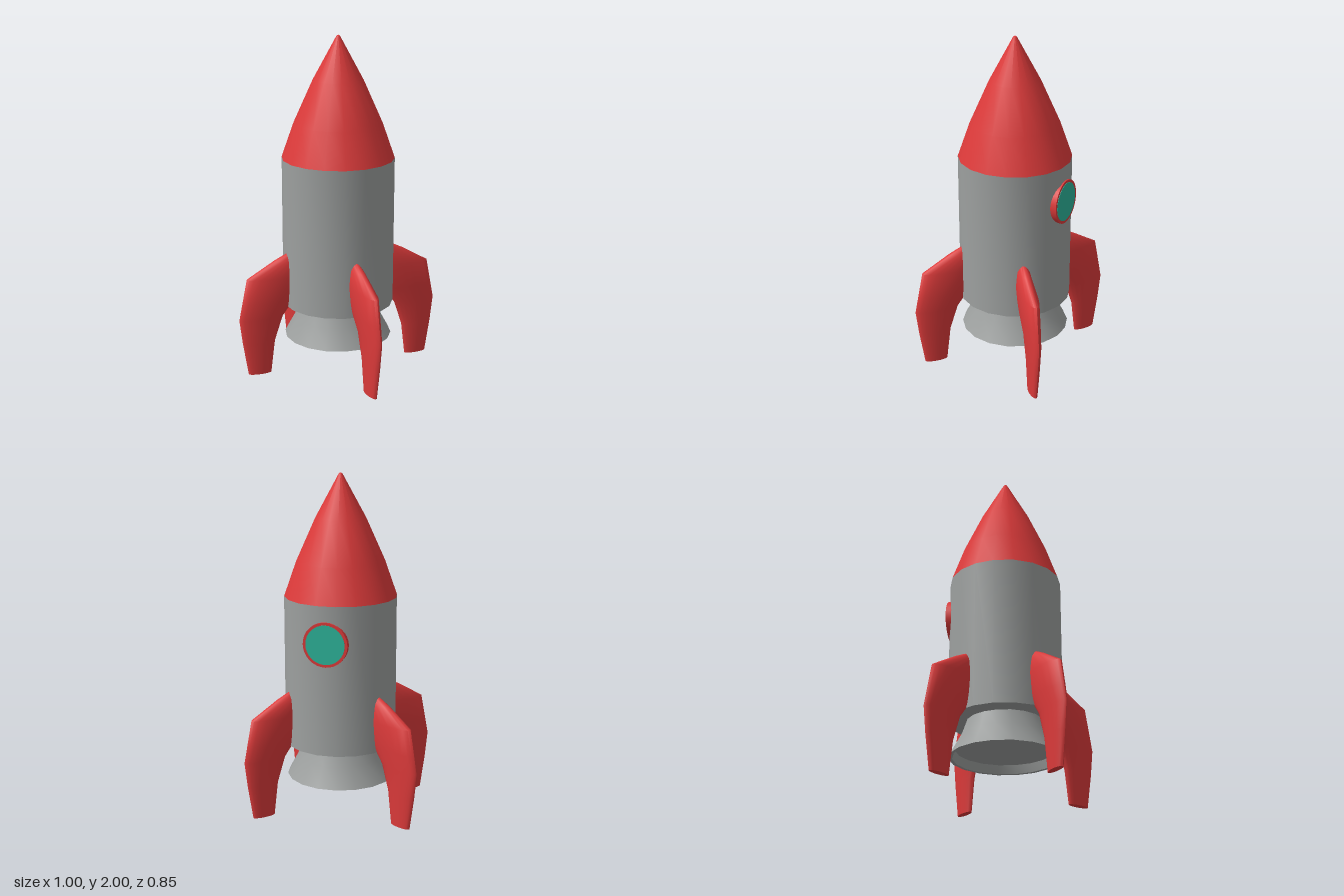
import * as THREE from 'three';
import { toCreasedNormals } from 'three/addons/utils/BufferGeometryUtils.js';

const SIDES = 18;

function material(name, color) {
  const m = new THREE.MeshStandardMaterial({ color });
  m.name = name;
  return m;
}

function mesh(name, geometry, mat) {
  const m = new THREE.Mesh(geometry, mat);
  m.name = name;
  return m;
}

// Turned part from a profile of [radius, height], with a corner on the x axis
function turned(name, profile, mat, crease = 0.6) {
  const g = new THREE.LatheGeometry(profile.map(([r, y]) => new THREE.Vector2(r, y)), SIDES);
  g.rotateY(Math.PI / 2);
  return mesh(name, toCreasedNormals(g, crease), mat);
}

// Fin lofted through elliptical sections: [height, inner, outer, half thickness]
function finGeometry() {
  const sections = [
    [0, 0.44, 0.58, 0.022],
    [0.2, 0.415, 0.612, 0.03],
    [0.35, 0.365, 0.63, 0.036],
    [0.45, 0.29, 0.61, 0.043],
    [0.6, 0.2, 0.58, 0.047],
    [0.7, 0.2, 0.41, 0.035],
    [0.76, 0.2, 0.29, 0.012],
  ];
  const n = 20, pos = [], idx = [];
  for (const [y, a, b, h] of sections) {
    for (let i = 0; i < n; i++) {
      const t = (i / n) * Math.PI * 2;
      pos.push((a + b) / 2 + ((b - a) / 2) * Math.cos(t), y, h * Math.sin(t));
    }
  }
  const last = sections.length - 1;
  for (let s = 0; s < last; s++) {
    for (let i = 0; i < n; i++) {
      const p = s * n + i, q = s * n + ((i + 1) % n);
      idx.push(p, p + n, q, q, p + n, q + n);
    }
  }
  // Flat caps at foot and top
  for (let i = 1; i < n - 1; i++) {
    idx.push(0, i, i + 1);
    idx.push(last * n, last * n + i + 1, last * n + i);
  }
  const g = new THREE.BufferGeometry();
  g.setAttribute('position', new THREE.Float32BufferAttribute(pos, 3));
  g.setIndex(idx);
  return toCreasedNormals(g, 0.8);
}

export function createModel() {
  const red = material('red paint', 0xdc3a3a);
  const grey = material('grey metal', 0x9da09f);
  const teal = material('teal glass', 0x2db39a);

  const model = new THREE.Group();
  model.name = 'rocket';

  // Hull, nose and hollow nozzle share one axis
  const hull = new THREE.Group();
  hull.name = 'hull';
  hull.position.set(0.027, 0, -0.013);
  model.add(hull);
  hull.add(turned('body', [[0, 0.41], [0.33, 0.41], [0.33, 1.29]], grey));
  hull.add(turned('noseCone',
    [[0.33, 1.29], [0.258, 1.495], [0.146, 1.745], [0.01, 1.995], [0, 2]], red));
  hull.add(turned('nozzle',
    [[0, 0.25], [0.285, 0.25], [0.3, 0.2], [0.32, 0.2], [0.255, 0.32], [0.21, 0.45]], grey));

  // Round window on the back
  const rim = mesh('windowRim', new THREE.CylinderGeometry(0.13, 0.13, 0.055, 32), red);
  rim.rotation.x = Math.PI / 2;
  rim.position.set(0.03, 1.07, -0.3195);
  const glass = mesh('windowGlass', new THREE.CylinderGeometry(0.114, 0.114, 0.004, 32), teal);
  glass.rotation.x = Math.PI / 2;
  glass.position.set(0.03, 1.07, -0.347);
  model.add(rim, glass);

  // Four fins: root on the hull [x, z] and outward direction [dx, dz]
  const geometry = finGeometry();
  const fins = [
    ['backLeftFin', 0.285, -0.21, 0.215, -0.217],
    ['backRightFin', -0.245, -0.188, -0.25, -0.15],
    ['frontRightFin', -0.2, 0.21, -0.22, 0.195],
    ['frontLeftFin', 0.242, 0.226, 0.228, 0.197],
  ];
  for (const [name, x, z, dx, dz] of fins) {
    const fin = mesh(name, geometry, red);
    const k = 0.33 / Math.hypot(dx, dz);
    fin.position.set(x - dx * k, 0, z - dz * k);
    fin.rotation.y = Math.atan2(-dz, dx);
    model.add(fin);
  }
  return model;
}
